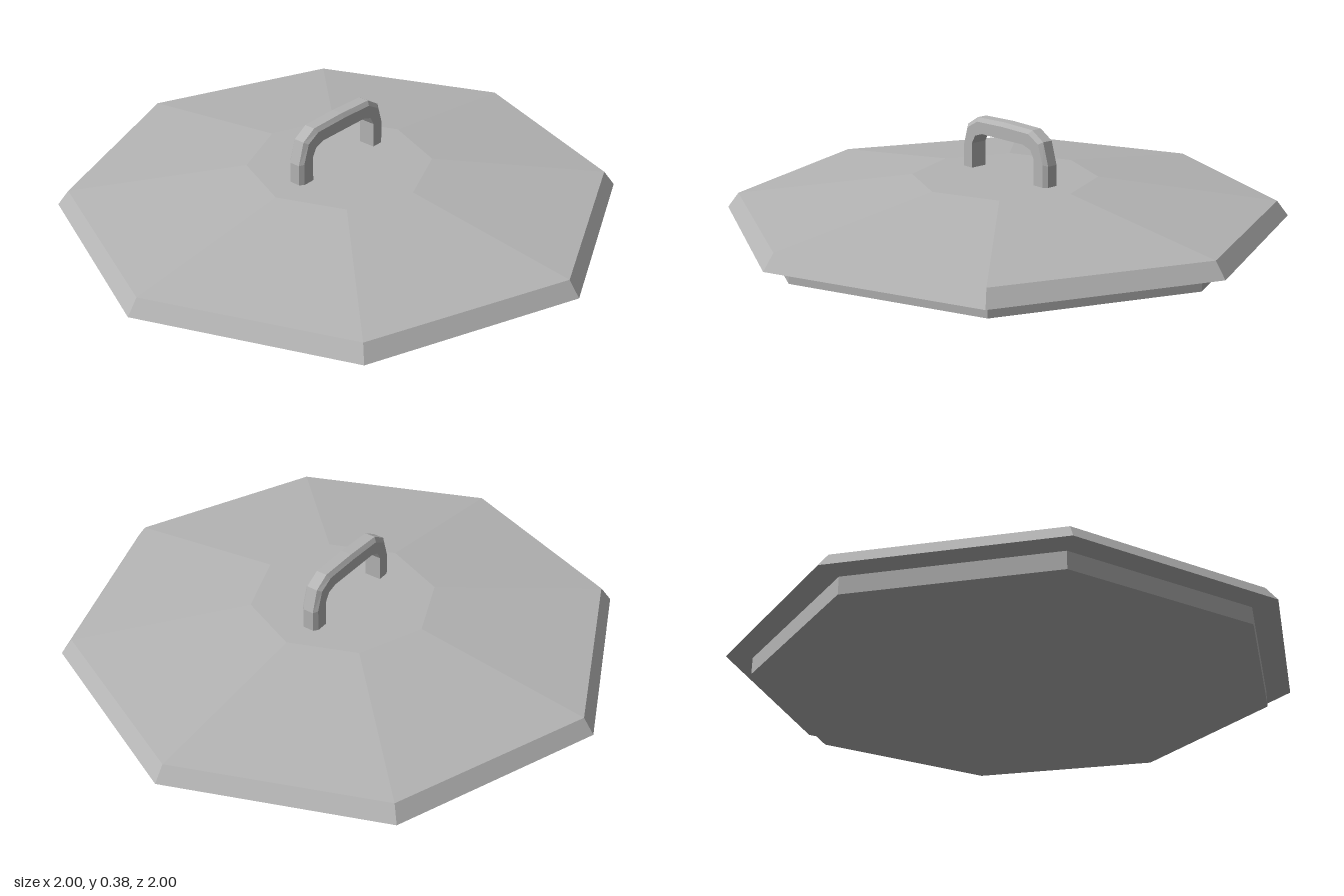
import * as THREE from 'three';

const SIDES = 8;

// Gives every triangle its own normal
function faceted(geometry) {
  const flat = geometry.toNonIndexed();
  flat.computeVertexNormals();
  return flat;
}

// Solid of revolution with few sides, profile listed from bottom to top
function turned(name, profile, material) {
  const points = profile.map(([r, y]) => new THREE.Vector2(r, y));
  const mesh = new THREE.Mesh(faceted(new THREE.LatheGeometry(points, SIDES)), material);
  mesh.name = name;
  return mesh;
}

// Squared arch with bevelled outer edges, lofted from one leg to the other
function handleGeometry() {
  // Half of the arch: outer z, outer y, inner z, inner y
  const half = [
    [0.222, 0.18, 0.163, 0.18],
    [0.222, 0.267, 0.163, 0.283],
    [0.197, 0.348, 0.145, 0.314],
    [0.143, 0.381, 0.108, 0.326],
  ];
  const mirrored = half.map(([oz, oy, iz, iy]) => [-oz, oy, -iz, iy]).reverse();
  const stations = [...half, [0, 0.385, 0, 0.326], ...mirrored];

  // Section: x, and fraction of the way from the inner to the outer line
  const w = 0.032, bevel = 0.012;
  const section = [[-w, 0], [w, 0], [w, 0.75], [w - bevel, 1], [bevel - w, 1], [-w, 0.75]];
  const n = section.length;

  const positions = [], index = [];
  for (const [oz, oy, iz, iy] of stations) {
    for (const [x, t] of section) {
      positions.push(x, iy + (oy - iy) * t, iz + (oz - iz) * t);
    }
  }
  for (let s = 0; s < stations.length - 1; s++) {
    for (let i = 0; i < n; i++) {
      const a = s * n + i, b = s * n + (i + 1) % n;
      index.push(a, a + n, b, b, a + n, b + n);
    }
  }
  const geometry = new THREE.BufferGeometry();
  geometry.setAttribute('position', new THREE.Float32BufferAttribute(positions, 3));
  geometry.setIndex(index);
  return faceted(geometry);
}

export function createModel() {
  const metal = new THREE.MeshStandardMaterial({ color: 0xb4b4b4 });
  metal.name = 'grey metal';

  const group = new THREE.Group();
  group.name = 'lid';

  // Plug that sits inside the pot
  group.add(turned('plug', [[0, 0], [0.91, 0], [0.91, 0.06]], metal));

  // Overhanging rim, with its underside and bevelled edge
  group.add(turned('rim', [[0.91, 0.06], [1, 0.06], [0.96, 0.113]], metal));

  // Shallow sloping cover with a flat centre
  group.add(turned('cover', [[0.96, 0.113], [0.33, 0.192], [0, 0.192]], metal));

  // Handle, set slightly off centre
  const handle = new THREE.Mesh(handleGeometry(), metal);
  handle.name = 'handle';
  handle.position.set(-0.015, 0, -0.004);
  group.add(handle);

  return group;
}
